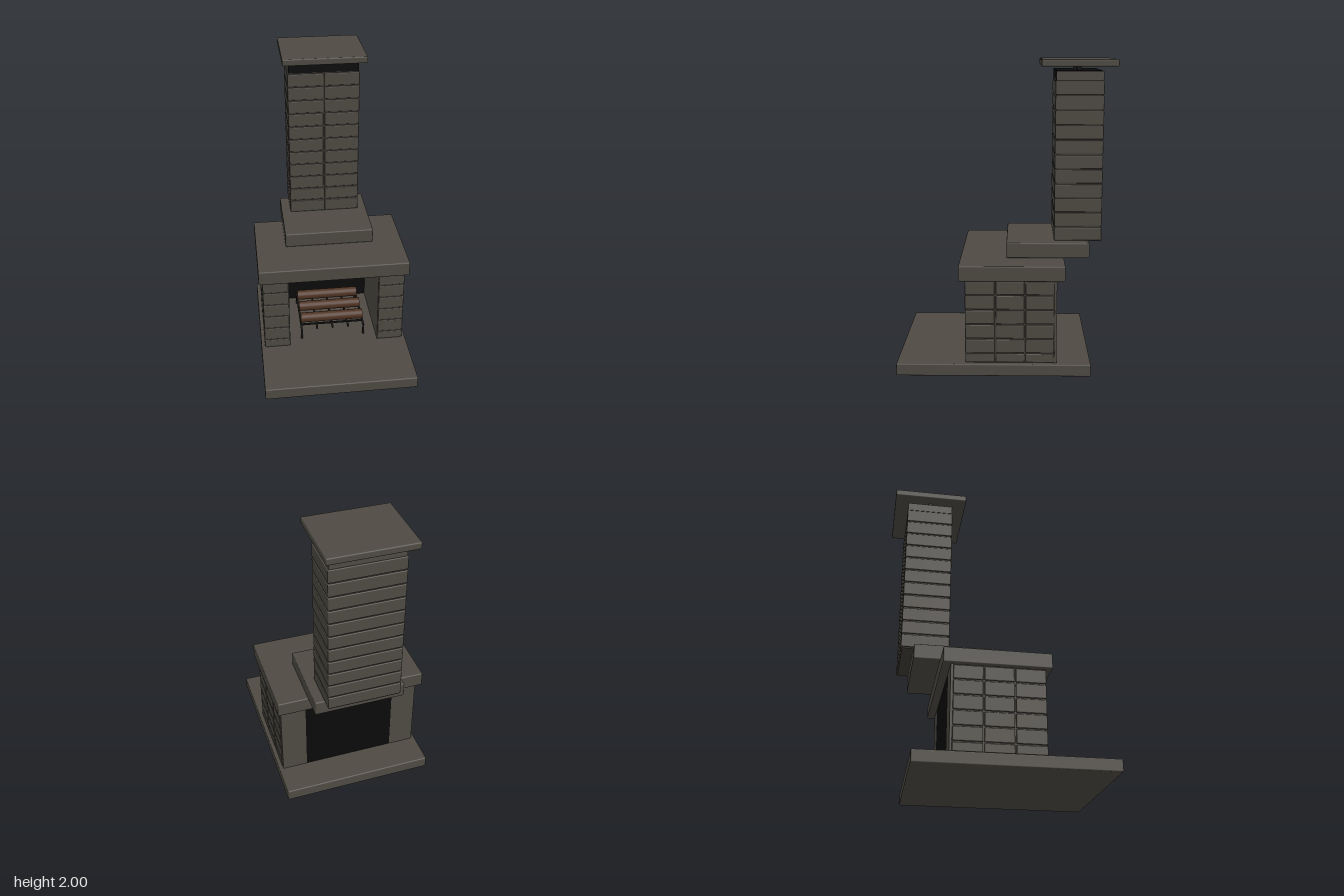
import * as THREE from 'three';
import { RoundedBoxGeometry } from 'three/addons/geometries/RoundedBoxGeometry.js';

const mat = (name, color) => {
  const m = new THREE.MeshStandardMaterial({ color });
  m.name = name;
  return m;
};

export function createModel() {
  const stone = mat('stone', 0x4e4a43);
  const mortar = mat('mortar', 0x403d37);
  const soot = mat('soot black', 0x0b0b0c);
  const iron = mat('iron', 0x1c1b1a);
  const wood = mat('log brown', 0x4e3221);

  const model = new THREE.Group();
  model.name = 'fireplace';
  const group = (name) => {
    const g = new THREE.Group();
    g.name = name;
    model.add(g);
    return g;
  };

  // Box between two limits on each axis, with rounded edges when bevel > 0
  const block = (parent, name, material, [x0, x1], [y0, y1], [z0, z1], bevel = 0) => {
    const w = x1 - x0, h = y1 - y0, d = z1 - z0;
    const geo = bevel ? new RoundedBoxGeometry(w, h, d, 2, bevel) : new THREE.BoxGeometry(w, h, d);
    const mesh = new THREE.Mesh(geo, material);
    mesh.name = name;
    mesh.position.set((x0 + x1) / 2, (y0 + y1) / 2, (z0 + z1) / 2);
    parent.add(mesh);
    return mesh;
  };
  // Same, mirrored onto the other side when side is -1
  const sideBlock = (parent, name, material, side, [x0, x1], y, z, bevel) =>
    block(parent, name, material, side > 0 ? [x0, x1] : [-x1, -x0], y, z, bevel);

  // Slabs
  block(model, 'hearthSlab', stone, [-0.51, 0.51], [0, 0.08], [-0.545, 0.705], 0.008);
  block(model, 'mantelSlab', stone, [-0.51, 0.51], [0.63, 0.73], [-0.375, 0.3], 0.008);
  block(model, 'chimneyBaseSlab', stone, [-0.305, 0.305], [0.73, 0.83], [-0.54, 0], 0.008);
  block(model, 'chimneyCap', stone, [-0.28, 0.28], [1.955, 2], [-0.705, -0.22], 0.008);

  // Firebox side piers: smooth core faced with three columns of bricks
  const gap = 0.004;
  const rows = [0.08, 0.145, 0.242, 0.339, 0.436, 0.533, 0.63];
  const columns = [-0.312, -0.122, 0.068, 0.265];
  for (const side of [1, -1]) {
    const pier = group(side > 0 ? 'leftPier' : 'rightPier');
    sideBlock(pier, 'pierCore', mortar, side, [0.312, 0.475], [0.08, 0.63], [-0.312, 0.256]);
    sideBlock(pier, 'pierLining', stone, side, [0.307, 0.312], [0.08, 0.63], [-0.312, 0.256]);
    sideBlock(pier, 'backStrip', stone, side, [0.31, 0.482], [0.08, 0.63], [-0.325, -0.311]);
    for (let r = 0; r < rows.length - 1; r++) {
      for (let c = 0; c < columns.length - 1; c++) {
        sideBlock(pier, 'brick', stone, side, [0.31, 0.486],
          [rows[r] + gap, rows[r + 1] - gap], [columns[c] + gap, columns[c + 1] - gap], 0.006);
      }
    }
  }
  block(model, 'fireback', soot, [-0.312, 0.312], [0.08, 0.63], [-0.324, -0.31]);

  // Chimney: core with eleven courses, split in two on the front
  const chimney = group('chimney');
  block(chimney, 'chimneyCore', mortar, [-0.233, 0.233], [0.828, 1.872], [-0.612, -0.319]);
  block(chimney, 'chimneyCollar', stone, [-0.236, 0.236], [1.87, 1.926], [-0.615, -0.318]);
  block(chimney, 'smokeOpening', soot, [-0.236, 0.236], [1.873, 1.929], [-0.319, -0.313]);
  block(chimney, 'flueTop', soot, [-0.225, 0.225], [1.925, 1.93], [-0.605, -0.318]);
  const courses = 11, courseHeight = 1.04 / courses;
  for (let i = 0; i < courses; i++) {
    const y = [0.83 + i * courseHeight + gap, 0.83 + (i + 1) * courseHeight - gap];
    for (const side of [1, -1]) {
      sideBlock(chimney, 'frontBrick', stone, side, [gap, 0.243], y, [-0.49, -0.31], 0.006);
    }
    block(chimney, 'backBrick', stone, [-0.243, 0.243], y, [-0.62, -0.44], 0.006);
  }
  for (const x of [-0.19, 0.19]) {
    block(chimney, 'capPost', soot, [x - 0.015, x + 0.015], [1.925, 1.958], [-0.475, -0.445]);
  }

  // Iron grate
  const grate = group('grate');
  const bar = 0.006;
  for (let i = -2; i <= 2; i++) {
    const x = i * 0.11;
    block(grate, 'grateBar', iron, [x - bar, x + bar], [0.153, 0.165], [-0.25, 0.19]);
  }
  for (const z of [-0.22, 0.12]) {
    block(grate, 'crossBar', iron, [-0.22, 0.22], [0.145, 0.155], [z - bar, z + bar]);
  }
  for (const x of [-0.22, 0.22]) {
    for (const z of [-0.244, 0.184]) {
      block(grate, 'grateLeg', iron, [x - bar, x + bar], [0.08, 0.165], [z - bar, z + bar]);
    }
  }

  // Three logs lying across the grate
  const logs = group('logs');
  const logGeo = new THREE.CylinderGeometry(0.035, 0.035, 0.44, 20).rotateZ(Math.PI / 2);
  for (const z of [0.11, -0.03, -0.17]) {
    const log = new THREE.Mesh(logGeo, wood);
    log.name = 'log';
    log.position.set(0, 0.203, z);
    logs.add(log);
  }

  return model;
}
